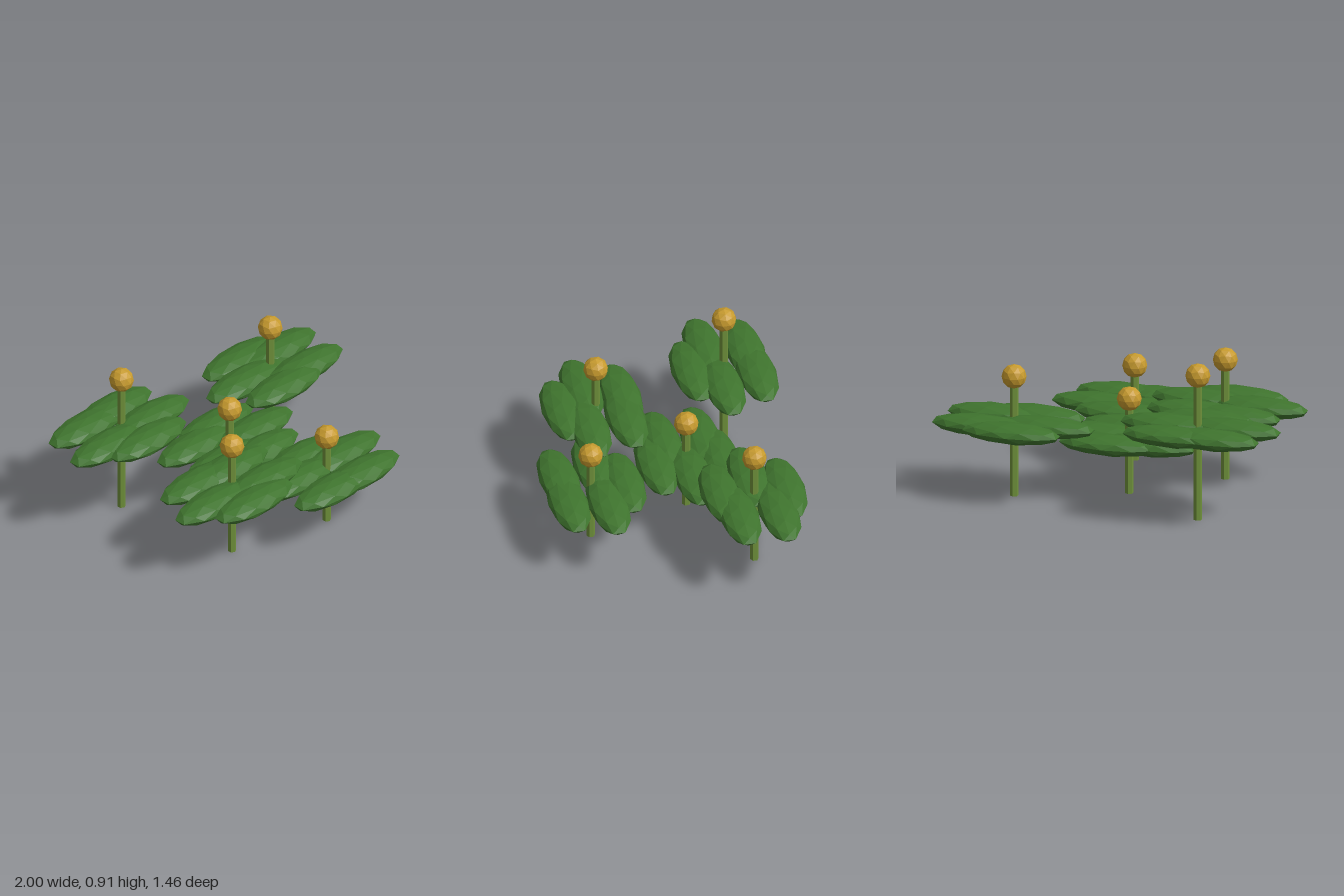
import * as THREE from 'three';

const leafGreen = new THREE.MeshStandardMaterial({ color: 0x3f742e, flatShading: true });
leafGreen.name = 'leaf green';
const stemGreen = new THREE.MeshStandardMaterial({ color: 0x6f913b, flatShading: true });
stemGreen.name = 'stem green';
const budGold = new THREE.MeshStandardMaterial({ color: 0xc69a2e, flatShading: true });
budGold.name = 'bud gold';

// Low-poly ball with a vertex at each pole
function icoBall() {
  const g = new THREE.IcosahedronGeometry(1, 1);
  g.rotateX(-Math.atan((1 + Math.sqrt(5)) / 2));
  g.rotateY(Math.PI / 2);
  return g;
}

const ball = icoBall();
const leafGeometry = ball.clone().scale(0.29, 0.058, 0.113);
const budGeometry = ball.clone().scale(0.07, 0.07, 0.07);

// x, z, leaf height, bud height, angle of the first leaf in degrees
const plants = [
  [-0.55, -0.455, 0.522, 0.84, 14],
  [-0.45, 0.3, 0.423, 0.695, 24],
  [-0.03, -0.12, 0.328, 0.55, 2],
  [0.14, 0.465, 0.328, 0.55, 54],
  [0.56, -0.373, 0.423, 0.695, 40],
];

function createPlant([x, z, leafY, budY, phase]) {
  const plant = new THREE.Group();
  plant.name = 'plant';
  plant.position.set(x, 0, z);

  // Six-sided stem
  const height = budY - 0.05;
  const stem = new THREE.Mesh(new THREE.CylinderGeometry(0.024, 0.024, height, 6), stemGreen);
  stem.name = 'stem';
  stem.position.y = height / 2;
  plant.add(stem);

  // Round bud on top
  const bud = new THREE.Mesh(budGeometry, budGold);
  bud.name = 'bud';
  bud.position.y = budY;
  plant.add(bud);

  // Ring of five flat leaves, all lying along x
  for (let i = 0; i < 5; i++) {
    const a = THREE.MathUtils.degToRad(phase + i * 72);
    const leaf = new THREE.Mesh(leafGeometry, leafGreen);
    leaf.name = 'leaf';
    leaf.position.set(Math.cos(a) * 0.19, leafY, Math.sin(a) * 0.19);
    plant.add(leaf);
  }
  return plant;
}

export function createModel() {
  const model = new THREE.Group();
  model.name = 'plantCluster';
  plants.forEach((p) => model.add(createPlant(p)));
  return model;
}
